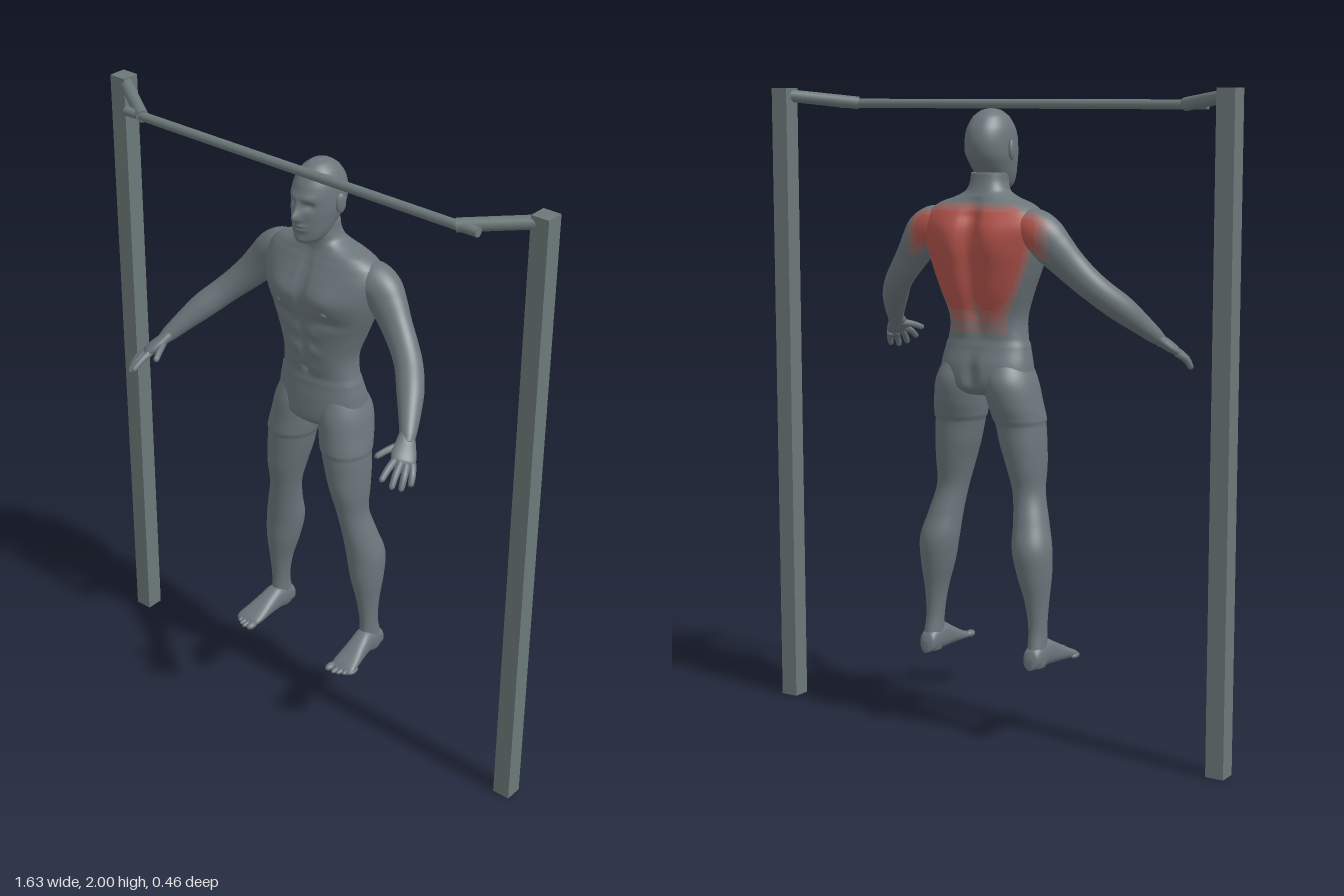
import * as THREE from 'three';

const V = (x, y, z) => new THREE.Vector3(x, y, z);
const X = V(1, 0, 0), Y = V(0, 1, 0), Z = V(0, 0, 1);
const bell = (d, w) => Math.exp(-(d * d) / (w * w));
const clamp = (v) => Math.min(1, Math.max(0, v));

const mat = (name, color) => {
  const m = new THREE.MeshStandardMaterial({ color });
  m.name = name;
  return m;
};

// Smooth closed loft through sections [x, y, z, radiusU, radiusV].
// frame is either fixed axes [U, V] or a reference normal for a free path.
function loft(secs, frame, { rings = 40, sides = 32, power = 2, rule, paint } = {}) {
  const path = new THREE.CatmullRomCurve3(secs.map((s) => V(s[0], s[1], s[2])));
  const size = new THREE.CatmullRomCurve3(secs.map((s) => V(s[3], s[4], 0)), false, 'catmullrom', 0.5);
  const pos = [], idx = [];
  const bend = (c) => Math.sign(c) * Math.abs(c) ** (2 / power);
  for (let i = 0; i <= rings; i++) {
    const c = path.getPoint(i / rings), r = size.getPoint(i / rings);
    let [U, W] = Array.isArray(frame) ? frame : [];
    if (!U) {
      const T = path.getTangent(i / rings);
      U = T.clone().cross(frame).normalize();
      W = T.clone().cross(U);
    }
    for (let j = 0; j < sides; j++) {
      const a = (j / sides) * Math.PI * 2, s = Math.sin(a);
      const p = c.clone().addScaledVector(U, bend(Math.cos(a)) * r.x).addScaledVector(W, bend(s) * r.y);
      if (rule) rule(p, s, c);
      pos.push(p.x, p.y, p.z);
      if (i < rings) {
        const k = i * sides + j, n = i * sides + ((j + 1) % sides);
        idx.push(k, n, k + sides, n, n + sides, k + sides);
      }
    }
  }
  // end caps
  const first = secs[0], last = secs[secs.length - 1], n = pos.length / 3;
  pos.push(first[0], first[1], first[2], last[0], last[1], last[2]);
  for (let j = 0; j < sides; j++) {
    const k = (j + 1) % sides, e = rings * sides;
    idx.push(n, k, j, n + 1, e + j, e + k);
  }
  const g = new THREE.BufferGeometry();
  g.setAttribute('position', new THREE.Float32BufferAttribute(pos, 3));
  if (paint) {
    const bins = [[], [], [], []];
    for (let t = 0; t < idx.length; t += 3) {
      const tri = idx.slice(t, t + 3);
      const mid = [0, 1, 2].map((q) => tri.reduce((sum, v) => sum + pos[v * 3 + q], 0) / 3);
      bins[paint(...mid)].push(...tri);
    }
    let start = 0;
    bins.forEach((b, m) => { g.addGroup(start, b.length, m); start += b.length; });
    g.setIndex(bins.flat());
  } else g.setIndex(idx);
  g.computeVertexNormals();
  return g;
}

// Reflects a geometry across x = 0 and restores the face order
function mirrored(geo) {
  const g = geo.clone().scale(-1, 1, 1), a = g.index.array;
  for (let i = 0; i < a.length; i += 3) [a[i], a[i + 1]] = [a[i + 1], a[i]];
  g.computeVertexNormals();
  return g;
}

// Upright sections given as [y, x, halfWidth, frontZ, backZ]
const upright = (rows) => rows.map(([y, x, u, f, b]) => [x, y, (f + b) / 2, u, (f - b) / 2]);

// Highlighted back muscles: 0 = plain skin ... 3 = full red
function backPaint(x, y, z) {
  const d = Math.min((-0.145 - z) / 0.03, (y - 1.24) / 0.1, (1.675 - y) / 0.035, (0.27 - Math.abs(x)) / 0.06);
  return Math.floor(clamp(d) * 3.001);
}

// The shorts stand slightly proud of the skin
function shorts(p, c) {
  if (p.y > 1.005 && p.y < 1.237) p.add(V(p.x - c.x, 0, p.z - c.z).setLength(0.004));
}

function torsoRule(p, s, c) {
  const ax = Math.abs(p.x), { y } = p, front = clamp(s * 2), back = clamp(-s * 2);
  const upper = clamp((y - 1.25) / 0.08) * clamp((1.68 - y) / 0.06);
  // chest, breastbone, belly line and navel
  p.z += front * (0.012 * bell(ax - 0.08, 0.055) * bell(y - 1.535, 0.045) - 0.008 * bell(p.x, 0.012) * upper);
  p.z -= front * (0.008 * bell(ax - 0.08, 0.06) * bell(y - 1.455, 0.018) + 0.012 * bell(p.x, 0.01) * bell(y - 1.275, 0.01));
  p.z += front * 0.004 * bell(ax - 0.035, 0.022) * Math.cos((y - 1.41) * 95) * bell(y - 1.37, 0.08);
  // shoulder blades, spine furrow and seat cleft
  p.z -= back * 0.012 * bell(ax - 0.075, 0.05) * bell(y - 1.56, 0.08);
  p.z += back * (0.026 * bell(p.x, 0.03) * upper + 0.025 * bell(p.x, 0.016) * bell(y - 1.12, 0.06));
  shorts(p, c);
}

function headRule(p, s) {
  const ax = Math.abs(p.x), { y } = p, front = clamp(s * 2);
  // nose, brow, eye sockets, lips and chin
  p.z += front * (0.026 * bell(p.x, 0.012) * bell(y - 1.79, 0.018) + 0.012 * bell(p.x, 0.01) * bell(y - 1.815, 0.025));
  p.z += front * (0.006 * bell(y - 1.848, 0.012) * bell(ax - 0.025, 0.025) - 0.012 * bell(ax - 0.03, 0.015) * bell(y - 1.824, 0.012));
  p.z += front * (0.008 * bell(p.x, 0.022) * (bell(y - 1.762, 0.006) + bell(y - 1.749, 0.006)) + 0.005 * bell(p.x, 0.02) * bell(y - 1.715, 0.012));
}

export function createModel() {
  const model = new THREE.Group();
  model.name = 'figureWithPullUpBar';
  const skin = mat('bodyGrey', 0x6b767b), steel = mat('frameGrey', 0x6c7879);
  const muscle = [skin, mat('paleRed', 0x88706f), mat('softRed', 0xa0645f), mat('muscleRed', 0xb3534b)];
  const add = (name, geo, m = skin) => {
    const mesh = new THREE.Mesh(geo, m);
    mesh.name = name;
    model.add(mesh);
    return mesh;
  };
  const pair = (name, geo, m) => {
    add(name + 'Left', geo, m);
    add(name + 'Right', mirrored(geo), m);
  };
  const rod = (a, b, r) => {
    const d = b.clone().sub(a), g = new THREE.CylinderGeometry(r, r, d.length(), 20);
    g.applyQuaternion(new THREE.Quaternion().setFromUnitVectors(Y, d.clone().normalize()));
    return g.translate((a.x + b.x) / 2, (a.y + b.y) / 2, (a.z + b.z) / 2);
  };

  // Pull-up frame
  pair('post', new THREE.BoxGeometry(0.058, 2, 0.058).translate(0.786, 1, -0.08), steel);
  pair('barBracket', rod(V(0.785, 1.978, -0.082), V(0.585, 1.953, 0.046), 0.02), steel);
  add('pullUpBar', rod(V(-0.657, 1.952, 0.043), V(0.657, 1.952, 0.043), 0.0145), steel);

  // Torso with neck and pelvis
  add('torso', loft(upright([
    [1.75, 0, 0.055, -0.04, -0.145], [1.72, 0, 0.058, -0.04, -0.15], [1.695, 0, 0.07, -0.045, -0.158],
    [1.677, 0, 0.105, -0.045, -0.168], [1.66, 0, 0.155, -0.04, -0.18], [1.635, 0, 0.19, -0.028, -0.2],
    [1.59, 0, 0.207, -0.008, -0.22], [1.53, 0, 0.198, 0.01, -0.224], [1.47, 0, 0.18, 0.005, -0.218],
    [1.4, 0, 0.153, -0.005, -0.208], [1.315, 0, 0.126, -0.012, -0.185], [1.24, 0, 0.134, -0.024, -0.178],
    [1.17, 0, 0.147, -0.018, -0.198], [1.11, 0, 0.145, -0.015, -0.198], [1.085, 0, 0.09, -0.03, -0.17],
    [1.075, 0, 0.02, -0.06, -0.13],
  ]), [X, Z], { rings: 110, sides: 96, power: 2.3, rule: torsoRule, paint: backPaint }), muscle);

  // Head and ears
  add('head', loft(upright([
    [1.94, 0, 0.004, -0.08, -0.09], [1.935, 0, 0.026, -0.052, -0.118], [1.915, 0, 0.05, -0.022, -0.148],
    [1.88, 0, 0.066, 0.002, -0.172], [1.84, 0, 0.071, 0.012, -0.18], [1.8, 0, 0.07, 0.013, -0.172],
    [1.77, 0, 0.064, 0.012, -0.152], [1.74, 0, 0.056, 0.011, -0.125], [1.715, 0, 0.044, 0.008, -0.1],
    [1.702, 0, 0.028, 0, -0.075], [1.697, 0, 0.006, -0.03, -0.045],
  ]), [X, Z], { rings: 90, sides: 96, power: 2.1, rule: headRule }));
  pair('ear', new THREE.SphereGeometry(1, 16, 12).scale(0.009, 0.031, 0.018).rotateY(-0.3).translate(0.075, 1.818, -0.09));

  // Nipples
  pair('nipple', new THREE.SphereGeometry(1, 12, 8).scale(0.011, 0.009, 0.005).rotateY(0.3).translate(0.087, 1.492, 0.003));

  // Legs with short hems
  pair('leg', loft(upright([
    [1.2, 0.075, 0.055, -0.04, -0.17], [1.13, 0.085, 0.074, -0.018, -0.202], [1.06, 0.097, 0.077, -0.012, -0.194],
    [1, 0.108, 0.076, -0.008, -0.174], [0.93, 0.118, 0.07, -0.01, -0.168], [0.865, 0.128, 0.06, -0.015, -0.158],
    [0.785, 0.138, 0.049, -0.033, -0.145], [0.7, 0.155, 0.053, -0.045, -0.165], [0.62, 0.168, 0.06, -0.055, -0.188],
    [0.54, 0.176, 0.052, -0.06, -0.18], [0.45, 0.184, 0.035, -0.075, -0.16], [0.37, 0.188, 0.027, -0.085, -0.153],
    [0.31, 0.19, 0.028, -0.085, -0.163], [0.27, 0.191, 0.029, -0.09, -0.17], [0.253, 0.191, 0.024, -0.095, -0.165],
  ]), [X, Z], { rings: 120, sides: 40, rule: (p, s, c) => shorts(p, c) }));

  // Feet, sections given as [z, x, halfWidth, top]
  pair('foot', loft([
    [-0.175, 0.19, 0.012, 0.285], [-0.165, 0.19, 0.026, 0.31], [-0.13, 0.19, 0.031, 0.33], [-0.09, 0.191, 0.033, 0.335],
    [-0.05, 0.195, 0.036, 0.317], [0, 0.2, 0.042, 0.291], [0.03, 0.203, 0.043, 0.277], [0.045, 0.204, 0.036, 0.266],
  ].map(([z, x, u, t]) => [x, (0.25 + t) / 2, z, u, (t - 0.25) / 2]), [X, Y], { power: 2.4 }));
  for (let i = 0; i < 5; i++) {
    const r = i ? 0.0095 : 0.013;
    pair('toe' + (i + 1), new THREE.SphereGeometry(1, 12, 10).scale(r, r * 0.9, 0.022)
      .translate(0.17 + i * 0.016 + (i ? 0.006 : 0), 0.25 + r, 0.053 - i * i * 0.002));
  }

  // Arms
  pair('arm', loft([
    [0.13, 1.592, -0.122, 0.04, 0.05], [0.165, 1.588, -0.125, 0.062, 0.06], [0.205, 1.57, -0.125, 0.064, 0.06],
    [0.24, 1.532, -0.117, 0.06, 0.052], [0.28, 1.487, -0.102, 0.052, 0.044], [0.325, 1.44, -0.082, 0.046, 0.042],
    [0.365, 1.4, -0.056, 0.043, 0.042], [0.41, 1.352, -0.008, 0.041, 0.041], [0.447, 1.305, 0.042, 0.032, 0.033],
    [0.475, 1.266, 0.084, 0.024, 0.024], [0.485, 1.252, 0.1, 0.018, 0.018],
  ], Z, { rings: 80, sides: 40, paint: backPaint }), muscle);

  // Hands
  const palmNormal = V(-0.48, -0.8, -0.285).normalize();
  pair('palm', loft([
    [0.468, 1.275, 0.076, 0.022, 0.02], [0.482, 1.253, 0.102, 0.03, 0.018], [0.496, 1.235, 0.127, 0.037, 0.017],
    [0.508, 1.221, 0.145, 0.035, 0.014], [0.513, 1.215, 0.153, 0.022, 0.008],
  ], palmNormal, { rings: 24, sides: 24 }));
  const fingers = {
    thumb: [[0.474, 1.25, 0.105], [0.452, 1.24, 0.15], [0.435, 1.226, 0.186]],
    indexFinger: [[0.487, 1.229, 0.148], [0.49, 1.212, 0.192], [0.493, 1.188, 0.231]],
    middleFinger: [[0.503, 1.222, 0.149], [0.514, 1.2, 0.187], [0.521, 1.167, 0.218]],
    ringFinger: [[0.517, 1.215, 0.141], [0.533, 1.193, 0.173], [0.54, 1.158, 0.197]],
    littleFinger: [[0.527, 1.213, 0.127], [0.545, 1.192, 0.15], [0.553, 1.165, 0.168]],
  };
  for (const [name, [a, b, c]] of Object.entries(fingers)) {
    const near = c.map((v, i) => v * 0.85 + b[i] * 0.15);
    pair(name, loft([[...a, 0.012, 0.012], [...b, 0.0105, 0.0105], [...near, 0.0085, 0.0085], [...c, 0.002, 0.002]],
      palmNormal, { rings: 14, sides: 12 }));
  }
  return model;
}
